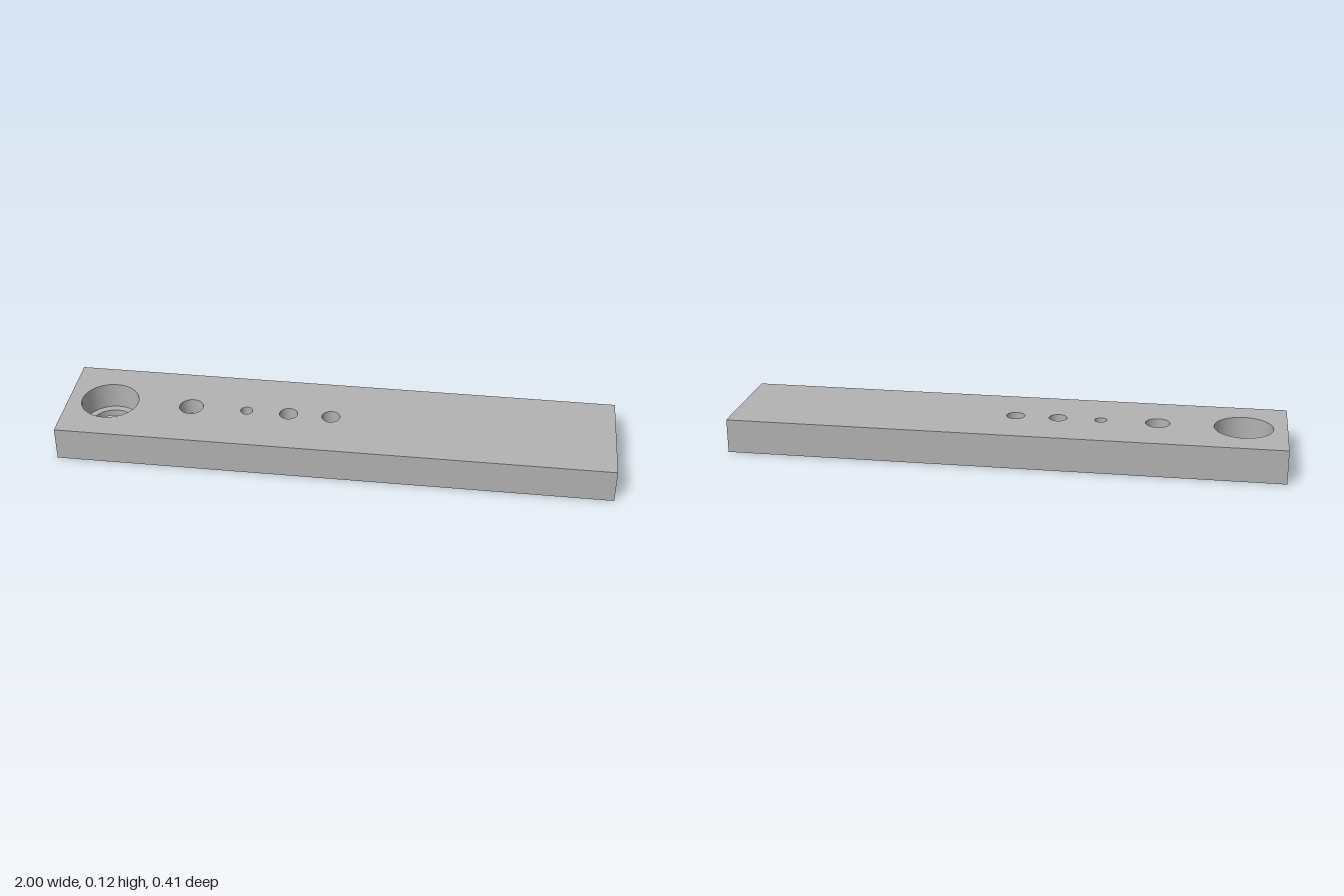
import * as THREE from 'three';

const H = 0.124;

// Counter-clockwise outlines in plan (x, -z)
function circle(x, r, n = 48) {
  return Array.from({ length: n }, (_, i) => {
    const a = (i / n) * Math.PI * 2;
    return new THREE.Vector2(x + r * Math.cos(a), r * Math.sin(a));
  });
}
function rect(x0, x1, w) {
  return [[x0, -w], [x1, -w], [x1, w], [x0, w]].map(p => new THREE.Vector2(...p));
}

// Flat horizontal face with holes, looking up or down
function face(outline, holes, y, up) {
  const shape = new THREE.Shape(outline);
  holes.forEach(h => shape.holes.push(new THREE.Path(h)));
  const geo = new THREE.ShapeGeometry(shape);
  geo.rotateX(up ? -Math.PI / 2 : Math.PI / 2);
  return geo.translate(0, y, 0);
}

// Vertical wall along an outline, facing outwards or into the opening
function wall(outline, y0, y1, inward, smooth) {
  const pos = [], idx = [], n = outline.length;
  outline.forEach((p, i) => {
    pos.push(p.x, y0, -p.y, p.x, y1, -p.y);
    const a = 2 * i, b = 2 * ((i + 1) % n);
    if (inward) idx.push(a, b + 1, b, a, a + 1, b + 1);
    else idx.push(a, b, b + 1, a, b + 1, a + 1);
  });
  let geo = new THREE.BufferGeometry();
  geo.setAttribute('position', new THREE.Float32BufferAttribute(pos, 3));
  geo.setIndex(idx);
  if (!smooth) geo = geo.toNonIndexed();
  geo.computeVertexNormals();
  return geo;
}

export function createModel() {
  const group = new THREE.Group();
  const grey = new THREE.MeshStandardMaterial({ color: 0xb2b2b2 });
  grey.name = 'grey';
  const add = (name, geo) => {
    const mesh = new THREE.Mesh(geo, grey);
    mesh.name = name;
    group.add(mesh);
  };

  const body = rect(-1, 1, 0.205);
  const counterbore = circle(-0.845, 0.105);
  const bore = circle(-0.845, 0.08);
  const boltHole = circle(-0.54, 0.044);
  const hexPocket = circle(-0.54, 0.085, 6);
  const smallHole = circle(-0.335, 0.022);
  const throughHole = circle(-0.18, 0.033);
  const blindHole = circle(-0.025, 0.033);
  const slot = rect(0.125, 0.85, 0.1);

  // Bar
  add('barSides', wall(body, 0, H, false, false));
  add('barTop', face(body, [counterbore, boltHole, smallHole, throughHole, blindHole], H, true));
  add('barBottom', face(body, [bore, hexPocket, throughHole, slot], 0, false));

  // Large stepped hole
  const lip = 0.025;
  add('counterboreWall', wall(counterbore, lip, H, true, true));
  add('counterboreLedge', face(counterbore, [bore], lip, true));
  add('boreWall', wall(bore, 0, lip, true, true));

  // Bolt hole with a hexagonal nut pocket below
  const hexDepth = 0.063;
  add('boltHoleWall', wall(boltHole, hexDepth, H, true, true));
  add('nutPocketCeiling', face(hexPocket, [boltHole], hexDepth, false));
  add('nutPocketWall', wall(hexPocket, 0, hexDepth, true, false));

  // Plain through hole
  add('throughHoleWall', wall(throughHole, 0, H, true, true));

  // Blind holes from the top
  [['smallHole', smallHole], ['blindHole', blindHole]].forEach(([name, outline]) => {
    add(name + 'Wall', wall(outline, 0.04, H, true, true));
    add(name + 'Floor', face(outline, [], 0.04, true));
  });

  // Rectangular slot in the underside
  const slotDepth = 0.083;
  add('slotWall', wall(slot, 0, slotDepth, true, false));
  add('slotCeiling', face(slot, [], slotDepth, false));

  return group;
}
